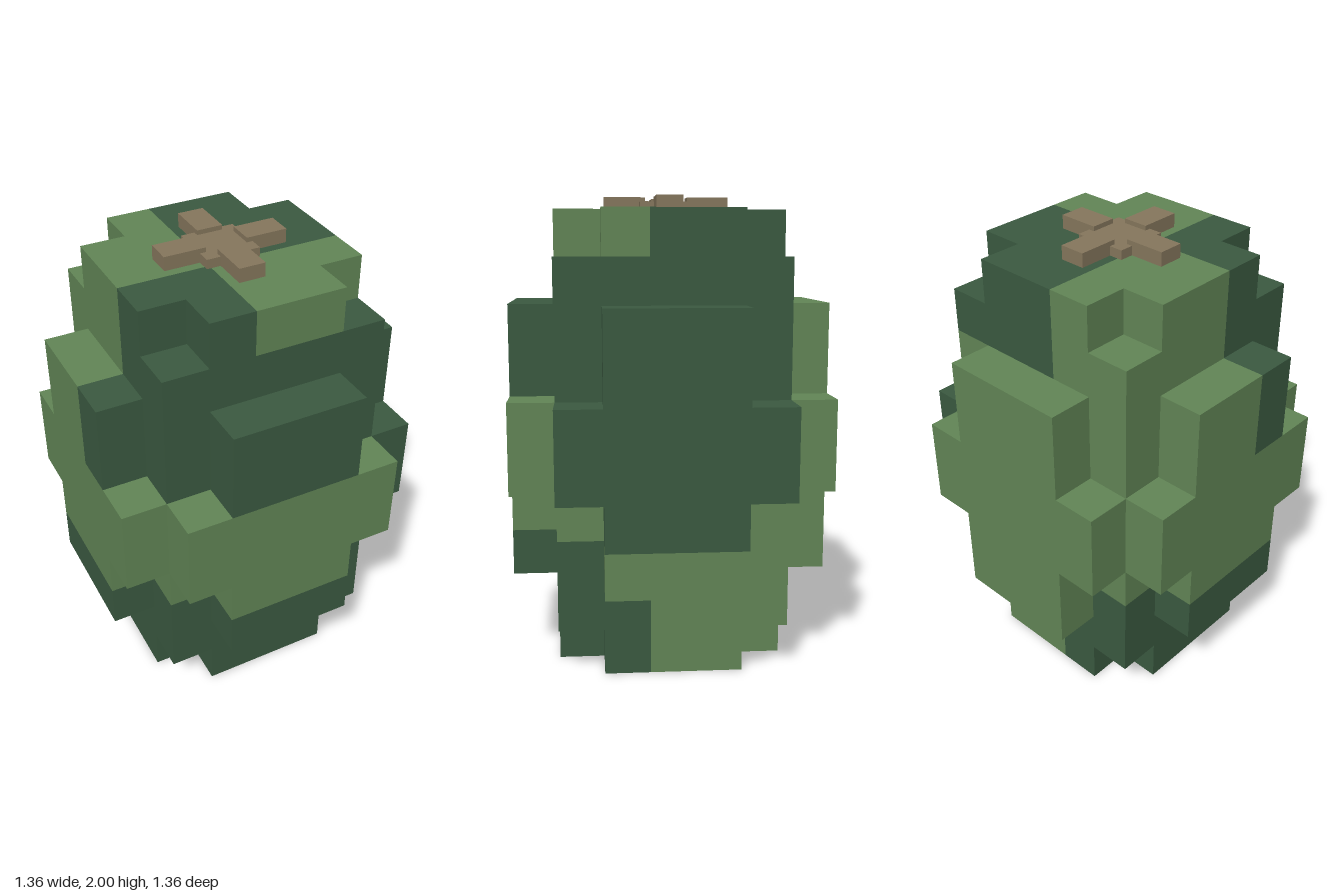
import * as THREE from 'three';
import { mergeGeometries } from 'three/addons/utils/BufferGeometryUtils.js';

const U = 0.194; // edge of one block

const material = (name, color) => {
  const m = new THREE.MeshStandardMaterial({ color });
  m.name = name;
  return m;
};

// Which part of the shell the block (i, j, k) belongs to, or null when empty
function partAt(i, j, k) {
  const a = Math.abs(i), c = Math.abs(k);
  if (j < 0 || j > 9) return null;
  if (a <= 2 && c <= 2) {
    const corner = a === 2 && c === 2;
    return corner && (j === 0 || j === 9) ? null : 'core';
  }
  // plus-shaped raised panels on the four sides
  const across = a === 3 ? c : a;
  if (Math.max(a, c) !== 3 || across > 2 || j < 2 || j > 7) return null;
  if (across === 2 && j !== 4 && j !== 5) return null;
  if (a === 3) return i > 0 ? 'leftPanel' : 'rightPanel';
  return k > 0 ? 'frontPanel' : 'backPanel';
}

// Patchwork of light and dark green
function isLight(part, i, j, k, face) {
  switch (part) {
    case 'frontPanel': return j >= 3 && j <= 5;
    case 'backPanel': return true;
    case 'leftPanel': return j === 2;
    case 'rightPanel': return j > 2 && !(k === 1 && j >= 6);
  }
  if (j <= 2) return i >= 0 && k <= 0;
  if (j === 3) return true;
  if (i === 2 && k === -2 && j <= 7) return face === 'back';
  if (i < 0 && k <= 0) return true;
  return j === 9 && i >= 0 && k >= 1;
}

// Face directions with the turn that points a plane that way
const H = Math.PI / 2;
const FACES = [
  ['front', [0, 0, 1], 0, 0],
  ['back', [0, 0, -1], 0, Math.PI],
  ['left', [1, 0, 0], 0, H],
  ['right', [-1, 0, 0], 0, -H],
  ['top', [0, 1, 0], -H, 0],
  ['bottom', [0, -1, 0], H, 0],
];

export function createModel() {
  const model = new THREE.Group();
  model.name = 'blockEgg';
  const dark = material('darkGreen', 0x3b5a41);
  const light = material('lightGreen', 0x628656);
  const brown = material('stemBrown', 0x86775d);

  // Shell: gather the exposed block faces by part and colour
  const patches = {};
  for (let i = -3; i <= 3; i++) for (let j = 0; j <= 9; j++) for (let k = -3; k <= 3; k++) {
    const part = partAt(i, j, k);
    if (!part) continue;
    for (const [face, [dx, dy, dz], rx, ry] of FACES) {
      if (partAt(i + dx, j + dy, k + dz)) continue;
      const g = new THREE.PlaneGeometry(U, U).rotateX(rx).rotateY(ry);
      g.translate((i + dx / 2) * U, (j + 0.5 + dy / 2) * U, (k + dz / 2) * U);
      patches[part] ??= { light: [], dark: [] };
      patches[part][isLight(part, i, j, k, face) ? 'light' : 'dark'].push(g);
    }
  }
  for (const [part, tones] of Object.entries(patches)) {
    const group = new THREE.Group();
    group.name = part;
    for (const [tone, list] of Object.entries(tones)) {
      if (!list.length) continue;
      const mesh = new THREE.Mesh(mergeGeometries(list), tone === 'light' ? light : dark);
      mesh.name = `${part}_${tone}`;
      group.add(mesh);
    }
    model.add(group);
  }

  // Stem: low square hub with four raised arms
  const stem = new THREE.Group();
  stem.name = 'stem';
  const hub = new THREE.Mesh(new THREE.BoxGeometry(0.234, 0.04, 0.234), brown);
  hub.name = 'stemHub';
  hub.position.y = 1.96;
  stem.add(hub);
  for (let n = 0; n < 4; n++) {
    const geometry = new THREE.BoxGeometry(0.18, 0.06, 0.113).translate(0.181, 1.97, 0);
    const arm = new THREE.Mesh(geometry, brown);
    arm.name = 'stemArm';
    arm.rotation.y = n * H;
    stem.add(arm);
  }
  model.add(stem);
  return model;
}
